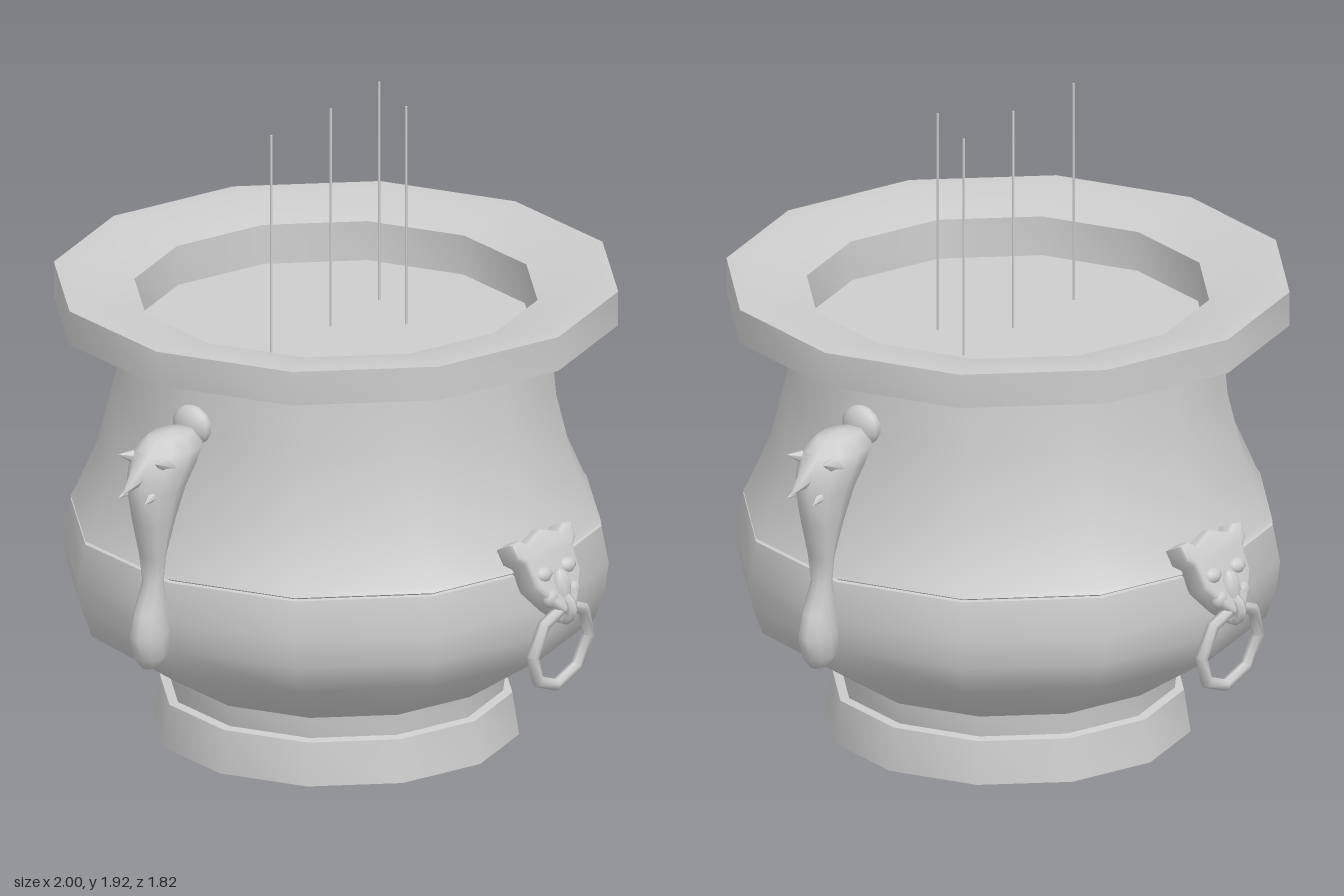
import * as THREE from 'three';
import { toCreasedNormals } from 'three/addons/utils/BufferGeometryUtils.js';

const bronze = new THREE.MeshStandardMaterial({ color: 0xcccccc });
bronze.name = 'greyBronze';

function add(parent, name, geometry, crease = 0.9) {
  const mesh = new THREE.Mesh(toCreasedNormals(geometry, crease), bronze);
  mesh.name = name;
  parent.add(mesh);
  return mesh;
}

function ellipsoid(parent, name, x, y, z, rx, ry, rz) {
  const geo = new THREE.SphereGeometry(1, 10, 7).scale(rx, ry, rz).translate(x, y, z);
  return add(parent, name, geo, 1.2);
}

// Cone with its base at a and its tip at b
function spike(parent, name, a, b, radius) {
  const from = new THREE.Vector3(...a), dir = new THREE.Vector3(...b).sub(from);
  const len = dir.length();
  const geo = new THREE.ConeGeometry(radius, len, 6).translate(0, len / 2, 0);
  const mesh = add(parent, name, geo, 1.2);
  mesh.quaternion.setFromUnitVectors(new THREE.Vector3(0, 1, 0), dir.normalize());
  mesh.position.copy(from);
}

// Stacked oval sections: [y, inner x, outer x, half depth]
function loft(sections) {
  const geo = new THREE.LatheGeometry(sections.map((s, i) => new THREE.Vector2(1, i)), 10);
  const p = geo.attributes.position;
  for (let i = 0; i < p.count; i++) {
    const [y, x0, x1, hz] = sections[Math.round(p.getY(i))];
    p.setXYZ(i, (x0 + x1) / 2 + p.getX(i) * (x1 - x0) / 2, y, p.getZ(i) * hz);
  }
  return geo;
}

// Beast-shaped side handle on +x
function makeHandle() {
  const g = new THREE.Group();
  add(g, 'handleBody', loft([
    [0.42, 0.865, 0.865, 0], [0.425, 0.83, 0.90, 0.022], [0.46, 0.80, 0.93, 0.045],
    [0.53, 0.80, 0.95, 0.05], [0.60, 0.81, 0.93, 0.042], [0.69, 0.83, 0.885, 0.034],
    [0.77, 0.83, 0.89, 0.045], [0.88, 0.785, 0.925, 0.06], [0.98, 0.735, 0.95, 0.075],
    [1.04, 0.69, 0.94, 0.085], [1.09, 0.655, 0.915, 0.085], [1.13, 0.69, 0.86, 0.055],
    [1.14, 0.77, 0.77, 0],
  ]), 1.2);
  ellipsoid(g, 'handleCurl', 0.675, 1.125, 0, 0.038, 0.062, 0.068);
  spike(g, 'handleSnout', [0.88, 1.06, 0], [1.0, 0.995, 0], 0.05);
  for (const s of [-1, 1]) {
    spike(g, 'handleEar', [0.84, 1.06, s * 0.045], [0.935, 1.09, s * 0.07], 0.035);
    spike(g, 'handleMane', [0.86, 0.99, s * 0.03], [0.96, 0.965, s * 0.05], 0.035);
  }
  return g;
}

// Mask holding a loose ring on +z
function makeRingMask() {
  const g = new THREE.Group();
  const half = [[0, 0.13], [0.075, 0.1], [0.1, 0.12], [0.14, 0.115], [0.135, 0.065],
    [0.11, 0.045], [0.105, -0.03], [0.055, -0.1], [0.025, -0.13]];
  const outline = [...half, ...half.slice(1).reverse().map(([x, y]) => [-x, y])];
  const shape = new THREE.Shape(outline.map(([x, y]) => new THREE.Vector2(x, y)));
  const plate = new THREE.ExtrudeGeometry(shape, {
    depth: 0.05, bevelThickness: 0.015, bevelSize: 0.012, bevelOffset: -0.012, bevelSegments: 2,
  });
  add(g, 'maskPlate', plate.rotateX(-0.48).translate(0, 0.645, 0.775));
  ellipsoid(g, 'maskNose', 0, 0.605, 0.845, 0.035, 0.075, 0.035);
  for (const s of [-1, 1]) {
    ellipsoid(g, 'maskBrow', s * 0.055, 0.67, 0.825, 0.035, 0.025, 0.025);
    ellipsoid(g, 'maskCheek', s * 0.05, 0.6, 0.85, 0.03, 0.03, 0.022);
  }
  const loop = new THREE.TorusGeometry(0.036, 0.018, 6, 10).rotateY(Math.PI / 2);
  add(g, 'ringLoop', loop.translate(0, 0.56, 0.855), 1.2);
  const ring = new THREE.TorusGeometry(0.13, 0.019, 6, 8).rotateX(0.14);
  add(g, 'hangingRing', ring.translate(0, 0.44, 0.848), 1.1);
  return g;
}

export function createModel() {
  const model = new THREE.Group();
  model.name = 'incenseBurner';

  // Twelve-sided bowl: foot, belly, ridge, neck, flat rim and ash bed
  const profile = [
    [0, 0], [0.545, 0], [0.525, 0.13], [0.498, 0.135], [0.505, 0.2], [0.77, 0.375],
    [0.80, 0.46], [0.812, 0.55], [0.79, 0.665], [0.778, 0.668], [0.79, 0.675], [0.78, 0.69],
    [0.71, 0.85], [0.655, 1.07], [0.635, 1.295], [0.84, 1.295], [0.84, 1.4], [0.775, 1.4],
    [0.6, 1.36], [0.595, 1.24], [0, 1.24],
  ].map(([r, y]) => new THREE.Vector2(r, y));
  add(model, 'bowl', new THREE.LatheGeometry(profile, 12), 0.85);

  // Paired handles and ring masks
  for (const turn of [0, Math.PI]) {
    const handle = makeHandle();
    handle.name = turn ? 'rightHandle' : 'leftHandle';
    handle.rotation.y = turn;
    const mask = makeRingMask();
    mask.name = turn ? 'backRingMask' : 'frontRingMask';
    mask.rotation.y = turn;
    model.add(handle, mask);
  }

  // Incense sticks standing in the ash
  for (const [x, z] of [[-0.29, -0.01], [0, -0.02], [0.27, -0.055], [0.155, 0.14]]) {
    const stick = add(model, 'incenseStick', new THREE.CylinderGeometry(0.004, 0.004, 0.69, 6), 1.2);
    stick.position.set(x, 1.575, z);
  }
  return model;
}
